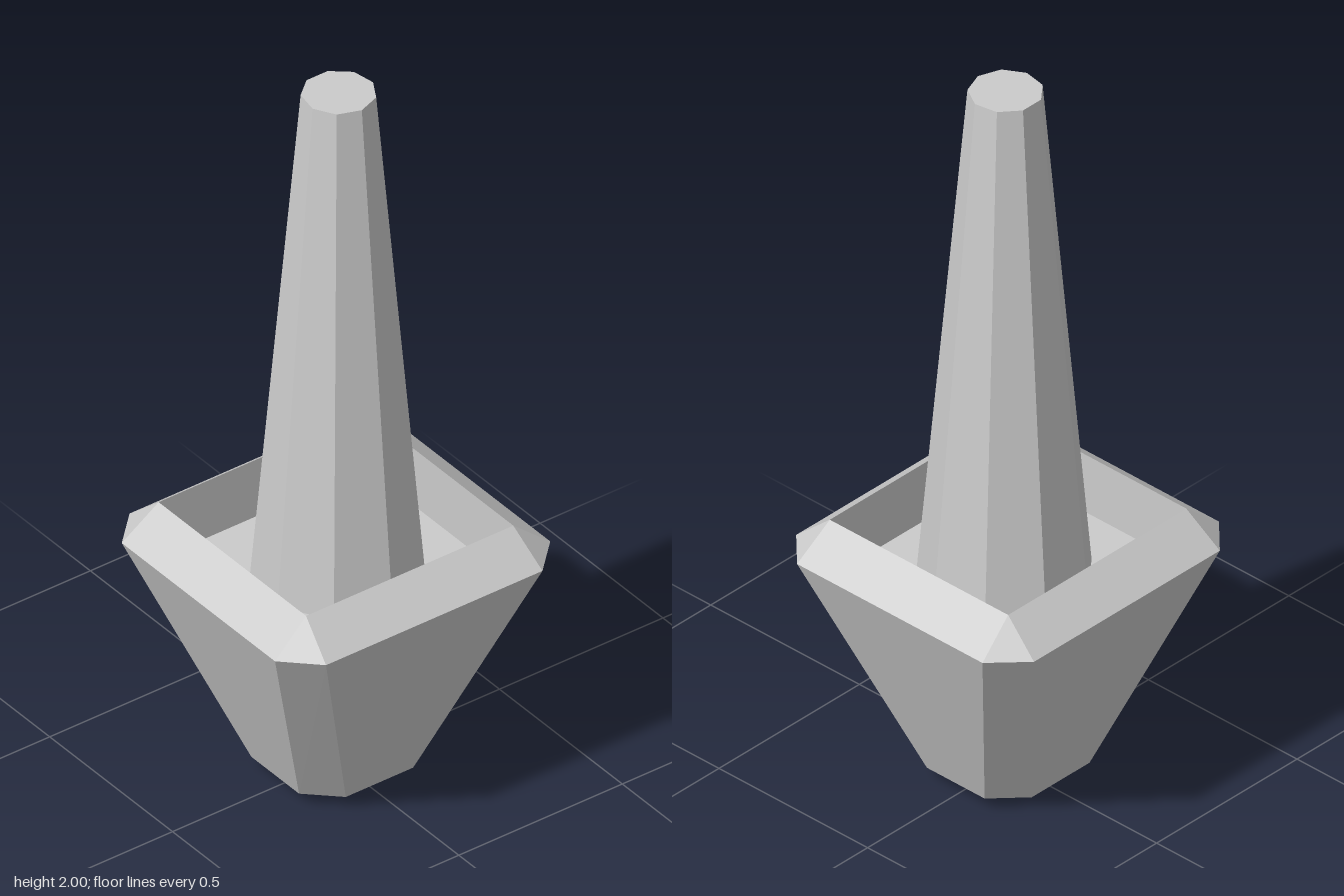
import * as THREE from 'three';

const material = new THREE.MeshStandardMaterial({ color: 0xcccccc, flatShading: true });

// Rectangle of half sizes hx, hz whose corners are cut back to cx, cz (no cut by default)
function ring(y, hx, hz, cx = hx, cz = hz) {
  return [[hx, -cz], [hx, cz], [cx, hz], [-cx, hz], [-hx, cz], [-hx, -cz], [-cx, -hz], [cx, -hz]]
    .map(([x, z]) => new THREE.Vector3(x, y, z));
}

// Skin a list of rings, leaving out collapsed triangles
function loft(rings) {
  const points = [];
  const triangle = (a, b, c) => {
    if (new THREE.Triangle(a, b, c).getArea() > 1e-6) points.push(a, b, c);
  };
  for (let r = 0; r < rings.length - 1; r++) {
    for (let i = 0; i < 8; i++) {
      const j = (i + 1) % 8;
      const [a, b, c, d] = [rings[r][i], rings[r][j], rings[r + 1][j], rings[r + 1][i]];
      triangle(a, b, c);
      triangle(a, c, d);
    }
  }
  const geometry = new THREE.BufferGeometry().setFromPoints(points);
  geometry.computeVertexNormals();
  return geometry;
}

export function createModel() {
  const model = new THREE.Group();

  // Tapered pot with a square recess, bevelled rim and blunt foot
  const pot = new THREE.Mesh(loft([
    ring(0.57, 0, 0),
    ring(0.57, 0.3, 0.317),
    ring(0.74, 0.3, 0.317),
    ring(0.655, 0.4, 0.421, 0.312, 0.331),
    ring(0.035, 0.177, 0.186, 0.097, 0.103),
    ring(0, 0.075, 0.08),
    ring(0, 0, 0),
  ]), material);
  pot.name = 'pot';
  model.add(pot);

  // Nine-sided tapering stem standing on the recess floor
  const stem = new THREE.Mesh(new THREE.CylinderGeometry(0.094, 0.219, 1.43, 9), material);
  stem.rotation.y = Math.PI / 2;
  stem.position.set(-0.002, 1.285, -0.01);
  stem.name = 'stem';
  model.add(stem);

  return model;
}
